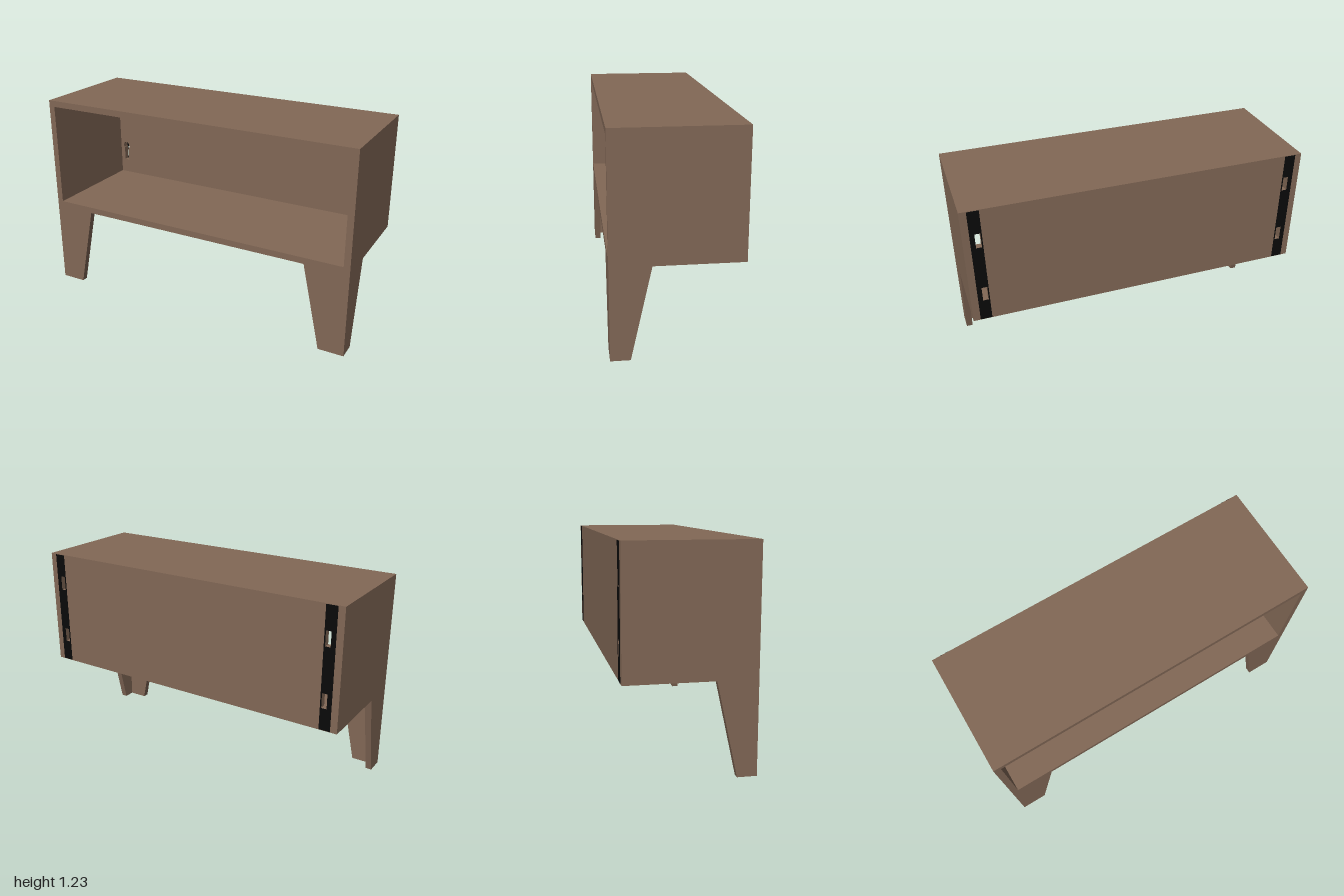
import * as THREE from 'three';

const T = 0.038;               // board thickness
const Y0 = 0.52, Y1 = 1.23;    // carcass bottom and top
const Z = 0.355;               // half depth
const HOLE_X = 0.917;          // keyhole centre line
const HOLE_Y = [0.65, 1.0];    // keyhole bottoms

export function createModel() {
  const model = new THREE.Group();
  model.name = 'wallCabinet';

  const wood = new THREE.MeshStandardMaterial({ color: 0x826856 });
  wood.name = 'brown wood';
  const black = new THREE.MeshStandardMaterial({ color: 0x0a0a0a });
  black.name = 'black metal';

  const add = (name, geometry, material = wood) => {
    const mesh = new THREE.Mesh(geometry, material);
    mesh.name = name;
    model.add(mesh);
  };
  const polygon = (points) => new THREE.Shape(points.map(([x, y]) => new THREE.Vector2(x, y)));
  const rect = (x0, y0, x1, y1) => polygon([[x0, y0], [x1, y0], [x1, y1], [x0, y1]]);
  const extrude = (shape, depth) =>
    new THREE.ExtrudeGeometry(shape, { depth, bevelEnabled: false, curveSegments: 8 });

  // Keyhole: narrow slot with a wider head on top
  const keyhole = (x, y) => polygon([
    [x - 0.016, y], [x + 0.016, y], [x + 0.016, y + 0.09], [x + 0.022, y + 0.09],
    [x + 0.022, y + 0.115], [x + 0.012, y + 0.127], [x - 0.012, y + 0.127],
    [x - 0.022, y + 0.115], [x - 0.022, y + 0.09], [x - 0.016, y + 0.09],
  ]);

  // Top and bottom boards between the sides
  for (const [name, y] of [['topBoard', Y1 - T / 2], ['bottomBoard', Y0 + T / 2]]) {
    add(name, new THREE.BoxGeometry(2 - 2 * T, T, 2 * Z).translate(0, y, 0));
  }

  // Back panel, flush with the rear edges, with four keyholes
  const back = rect(-1 + T, Y0 + T, 1 - T, Y1 - T);
  for (const s of [-1, 1]) for (const y of HOLE_Y) back.holes.push(keyhole(s * HOLE_X, y));
  add('backPanel', extrude(back, T).translate(0, 0, -Z));

  for (const s of [-1, 1]) {
    const side = s > 0 ? 'left' : 'right';

    // Side board
    add(side + 'SideBoard',
      new THREE.BoxGeometry(T, Y1 - Y0, 2 * Z).translate(s * (1 - T / 2), (Y0 + Y1) / 2, 0));

    // Metal hanging strip behind the back panel, slotted below each keyhole head
    const strip = rect(s * 0.927 - 0.033, Y0 + 0.003, s * 0.927 + 0.033, Y1 - 0.003);
    for (const y of HOLE_Y) {
      const x = s * HOLE_X;
      strip.holes.push(rect(x - 0.016, y, x + 0.016, y + 0.088));
    }
    add(side + 'HangingStrip', extrude(strip, 0.002).translate(0, 0, -Z - 0.002), black);

    // Corner leg: tapered side plate and tapered front plate
    const sidePlate = polygon([[0.247, 0], [Z, 0], [Z, Y0], [0.133, Y0]]);
    add(side + 'LegSide',
      extrude(sidePlate, T).rotateY(-Math.PI / 2).translate(s > 0 ? 1 : -1 + T, 0, 0));
    const frontPlate = polygon(
      [[0.845, 0], [1 - T, 0], [1 - T, Y0], [0.733, Y0]].map(([x, y]) => [s * x, y]));
    add(side + 'LegFront', extrude(frontPlate, T).translate(0, 0, Z - T));
  }

  return model;
}
